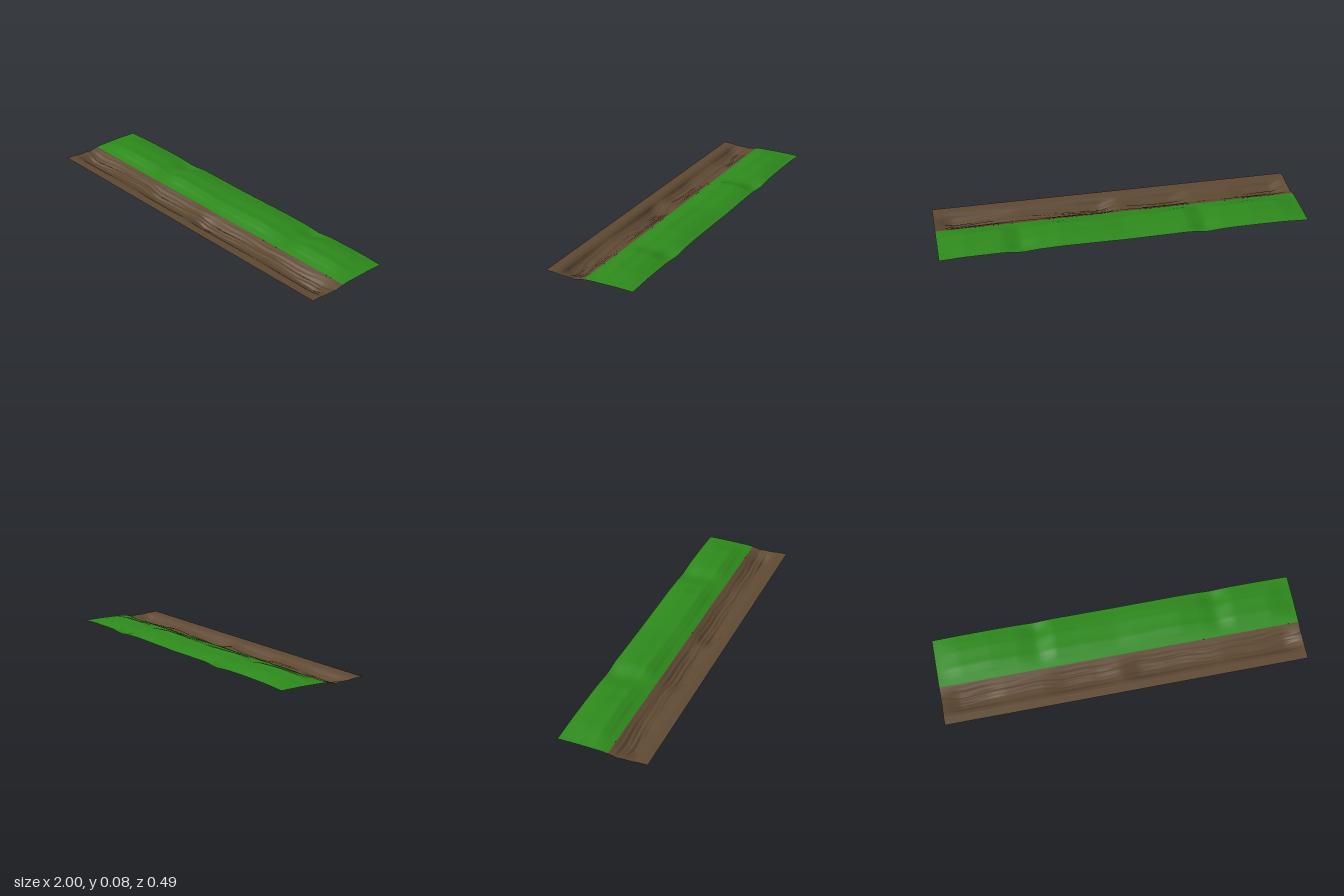
import * as THREE from 'three';

// Smooth interpolation through [position, value] pairs
function sample(points, t) {
  let i = 0;
  while (i < points.length - 2 && t > points[i + 1][0]) i++;
  const [a, va] = points[i], [b, vb] = points[i + 1];
  const k = THREE.MathUtils.smoothstep(t, a, b);
  return va + (vb - va) * (0.5 * k + 0.5 * THREE.MathUtils.clamp((t - a) / (b - a), 0, 1));
}

// Cross-sections over z: flat and fully raised bank
const bankLow = [[-0.246, 0.046], [-0.2, 0.048], [-0.13, 0.05], [0, 0.05], [0.03, 0.047]];
const bankHigh = [[-0.246, 0.054], [-0.18, 0.069], [-0.15, 0.074], [-0.1, 0.074], [-0.06, 0.077],
  [-0.03, 0.067], [0, 0.054], [0.03, 0.047]];
// Cross-sections over z: shallow and deep ditch
const ditchShallow = [[0.03, 0.047], [0.06, 0.042], [0.08, 0.036], [0.1, 0.041], [0.13, 0.041],
  [0.16, 0.042], [0.185, 0.046], [0.2, 0.048], [0.246, 0.049]];
const ditchDeep = [[0.03, 0.047], [0.055, 0.035], [0.075, 0.02], [0.09, 0.011], [0.11, 0.011], [0.13, 0.002],
  [0.145, 0.006], [0.165, 0.016], [0.185, 0.04], [0.2, 0.047], [0.246, 0.049]];

// Strength of the bank and of the ditch along x
const bankAlong = [[-1, 0], [-0.86, 0.75], [-0.7, 0.95], [-0.56, 0.75], [-0.44, 0.22], [-0.34, 1], [-0.2, 0.8],
  [0, 0.55], [0.12, 0.75], [0.35, 0.95], [0.46, 0.65], [0.56, 0.2], [0.66, 0.85], [0.85, 0.75], [1, 0]];
const ditchAlong = [[-1, 0], [-0.9, 0.75], [-0.75, 0.65], [-0.65, 0.35], [-0.45, 0.35], [-0.32, 0.8], [-0.15, 0.65],
  [-0.02, 0.25], [0.09, 1], [0.25, 0.75], [0.4, 0.55], [0.55, 0.35], [0.7, 0.65], [0.9, 0.9], [1, 0]];

function bankHeight(x, z) {
  const low = sample(bankLow, z);
  // Hollows crossing the back of the bank
  const hollow = [-0.43, 0.57].reduce((s, c) => s + Math.exp(-(((x - c) / 0.07) ** 2)), 0);
  const dip = 0.011 * hollow * Math.exp(-(((z + 0.2) / 0.045) ** 2));
  return low + (sample(bankHigh, z) - low) * sample(bankAlong, x) - dip;
}

function ditchHeight(x, z) {
  const low = sample(ditchShallow, z);
  const strength = sample(ditchAlong, x);
  // Long eroded ridges in the soil
  const mask = Math.exp(-(((z - 0.1) / 0.045) ** 2)) * strength;
  const ridges = 0.0035 * mask * Math.sin(z * 260 + 1.6 * Math.sin(x * 9) + Math.sin(x * 23));
  return Math.max(0, low + (sample(ditchDeep, z) - low) * strength + ridges);
}

function makeStrip(name, color, zBack, zFront, rows, height) {
  const geometry = new THREE.PlaneGeometry(2, zFront - zBack, 160, rows);
  geometry.rotateX(-Math.PI / 2);
  geometry.translate(0, 0, (zBack + zFront) / 2);
  const p = geometry.attributes.position;
  for (let i = 0; i < p.count; i++) p.setY(i, height(p.getX(i), p.getZ(i)));
  geometry.computeVertexNormals();
  const material = new THREE.MeshStandardMaterial({ color, side: THREE.DoubleSide });
  const mesh = new THREE.Mesh(geometry, material);
  mesh.name = name;
  return mesh;
}

export function createModel() {
  const group = new THREE.Group();
  group.name = 'roadsideDitch';
  group.add(makeStrip('grassBank', 0x2e8b1c, -0.246, 0.03, 36, bankHeight));
  group.add(makeStrip('soilDitch', 0x5f4a33, 0.03, 0.246, 54, ditchHeight));
  return group;
}
